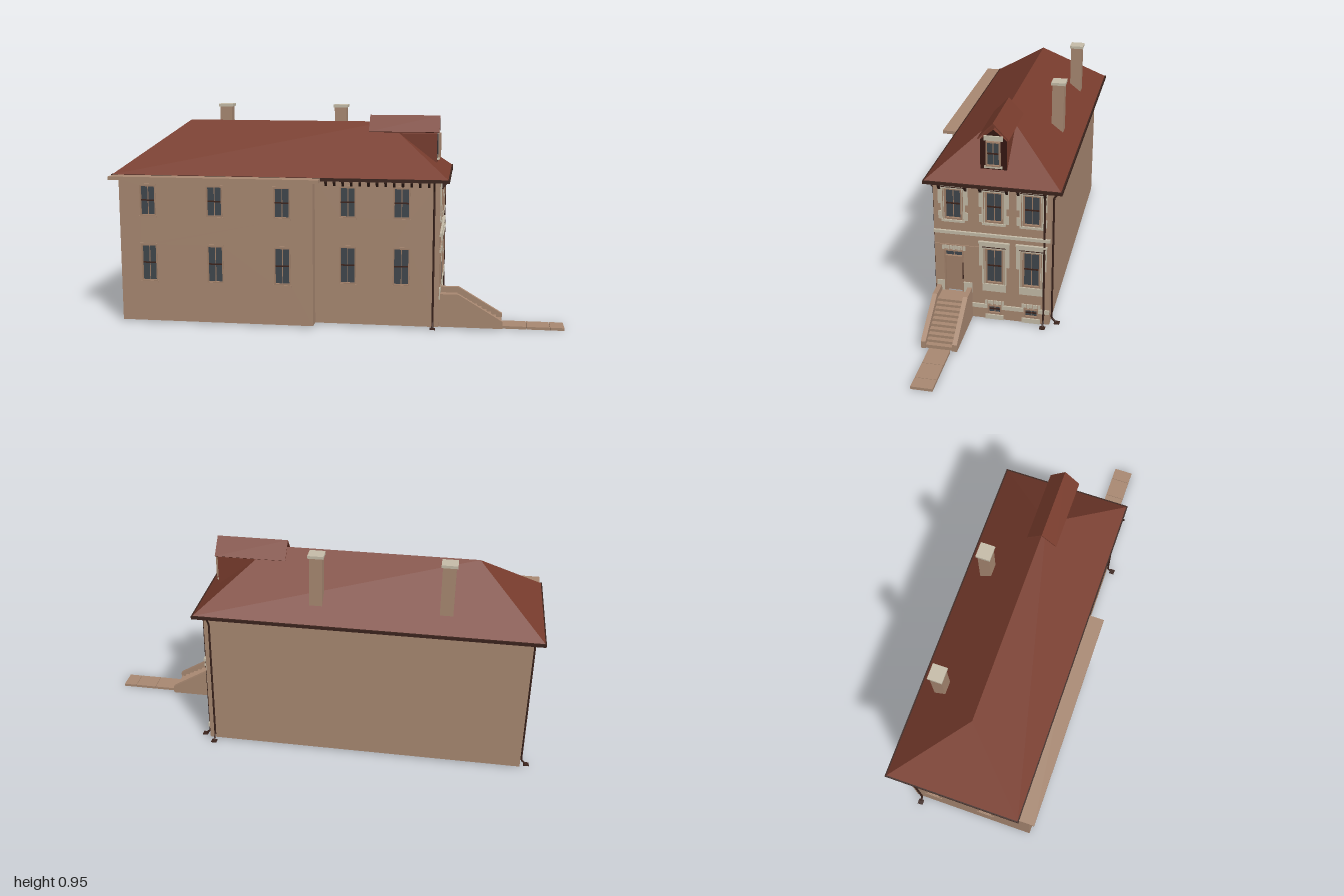
import * as THREE from 'three';

const mat = (name, color) => {
  const m = new THREE.MeshStandardMaterial({ color, side: THREE.DoubleSide });
  m.name = name;
  return m;
};

export function createModel() {
  const M = {
    brick: mat('brown brick', 0xa98972),
    stone: mat('pale stone', 0xc6bda9),
    roof: mat('red roof', 0x783c2d),
    dark: mat('dark trim', 0x3c241d),
    gable: mat('dormer front', 0x361812),
    glass: mat('window glass', 0x40474d),
    timber: mat('timber frame', 0xa3826b),
  };
  const house = new THREE.Group();
  house.name = 'house';
  const BASE = 0.008, TOP = 0.65;

  const add = (parent, name, geo, m) => {
    const mesh = new THREE.Mesh(geo, m);
    mesh.name = name;
    parent.add(mesh);
    return mesh;
  };
  // box given by its minimum and maximum corners
  const box = (parent, name, m, x0, x1, y0, y1, z0, z1) => {
    const mesh = add(parent, name, new THREE.BoxGeometry(x1 - x0, y1 - y0, z1 - z0), m);
    mesh.position.set((x0 + x1) / 2, (y0 + y1) / 2, (z0 + z1) / 2);
    return mesh;
  };
  const outline = (pts, Type = THREE.Shape) => new Type(pts.map(p => new THREE.Vector2(...p)));
  const rect = (x0, x1, y0, y1) => [[x0, y0], [x1, y0], [x1, y1], [x0, y1]];

  // wall plane facing local +z at distance d, with openings [x0, x1, y0, y1]
  const wall = (name, turn, d, u0, u1, openings = []) => {
    const g = new THREE.Group();
    g.name = name;
    g.rotation.y = turn;
    g.position.set(Math.sin(turn) * d, 0, Math.cos(turn) * d);
    const s = outline(rect(u0, u1, BASE, TOP));
    openings.forEach(o => s.holes.push(outline(rect(...o), THREE.Path)));
    add(g, name + 'Panel', new THREE.ShapeGeometry(s), M.brick);
    house.add(g);
    return g;
  };

  // sash window filling an opening
  const sash = (g, [x0, x1, y0, y1], f = 0.007) => {
    const w = new THREE.Group();
    w.name = 'window';
    g.add(w);
    const mid = (x0 + x1) / 2, rail = (y0 + y1) / 2;
    box(w, 'glass', M.glass, x0, x1, y0, y1, -0.012, -0.008);
    for (const [a, b] of [[x0, x0 + f], [x1 - f, x1]]) box(w, 'jamb', M.timber, a, b, y0, y1, -0.014, 0.003);
    for (const [a, b] of [[y0, y0 + f], [y1 - f, y1]]) box(w, 'frameRail', M.timber, x0, x1, a, b, -0.014, 0.003);
    box(w, 'mullion', M.timber, mid - 0.0015, mid + 0.0015, y0 + f, y1 - f, -0.01, -0.005);
    box(w, 'meetingRail', M.dark, x0 + f, x1 - f, rail - 0.003, rail + 0.003, -0.01, -0.004);
  };

  // plain side windows in two storeys, with slim sills and lintels
  const plainOpenings = centres => centres.flatMap(c =>
    [[c - 0.036, c + 0.036, 0.485, 0.62], [c - 0.036, c + 0.036, 0.19, 0.355]]);
  const plainWall = (name, turn, d, u0, u1, centres) => {
    const os = plainOpenings(centres);
    const g = wall(name, turn, d, u0, u1, os);
    for (const o of os) {
      sash(g, o, 0.005);
      box(g, 'sill', M.brick, o[0] - 0.004, o[1] + 0.004, o[2] - 0.008, o[2], -0.005, 0.005);
      box(g, 'lintel', M.brick, o[0] - 0.004, o[1] + 0.004, o[3], o[3] + 0.006, -0.002, 0.003);
    }
    return g;
  };
  plainWall('sideWall', 0, 0.225, -0.09, 0.455, [0.055, 0.29]);
  const wing = plainWall('wingWall', 0, 0.285, -0.955, -0.09, [-0.825, -0.525, -0.225]);
  box(wing, 'wingLining', M.brick, -0.95, -0.092, BASE, TOP, -0.02, -0.015);
  plainWall('endWall', -Math.PI / 2, 0.955, -0.275, 0.285, [-0.175, 0.075]);
  wall('wingReturn', Math.PI / 2, -0.09, -0.285, -0.225);
  wall('backWall', Math.PI, 0.275, -0.455, 0.955);

  // entrance facade: local x runs towards -z
  const upper = [-0.14, 0.035, 0.195].map(c => [c - 0.038, c + 0.038, 0.477, 0.62]);
  const lower = [0.035, 0.195].map(c => [c - 0.039, c + 0.039, 0.185, 0.355]);
  const cellar = [0.035, 0.195].map(c => [c - 0.03, c + 0.03, 0.035, 0.075]);
  const door = [-0.184, -0.1, 0.13, 0.33];
  const F = wall('facade', Math.PI / 2, 0.455, -0.225, 0.275, [...upper, ...lower, ...cellar, door]);

  // surround: quoin blocks of the given widths from the sill up, head and sill
  const surround = ([x0, x1, y0, y1], widths, head, sill) => {
    const h = (y1 - y0) / widths.length;
    widths.forEach((w, i) => {
      box(F, 'quoinLeft', M.stone, x0 - w, x0, y0 + i * h, y0 + (i + 1) * h, -0.01, 0.005);
      box(F, 'quoinRight', M.stone, x1, x1 + w, y0 + i * h, y0 + (i + 1) * h, -0.01, 0.005);
    });
    box(F, 'head', M.stone, x0 - 0.026, x1 + 0.026, y1, y1 + head, -0.01, 0.007);
    box(F, 'sill', M.stone, x0 - 0.012, x1 + 0.012, y0 - sill, y0, -0.01, 0.009);
    for (const a of [x0 - 0.006, x1 + 0.003]) box(F, 'moulding', M.timber, a, a + 0.003, y0, y1 + 0.004, 0, 0.007);
    box(F, 'headMoulding', M.dark, x0 - 0.012, x1 + 0.012, y1 + 0.006, y1 + 0.009, 0, 0.009);
  };
  for (const o of upper) { sash(F, o); surround(o, [0.026, 0.014, 0.026, 0.026], 0.022, 0.01); }
  for (const o of lower) {
    sash(F, o);
    surround(o, [0.014, 0.014, 0.026, 0.026], 0.03, 0.035);
    box(F, 'windowCornice', M.stone, o[0] - 0.028, o[1] + 0.028, 0.38, 0.388, 0, 0.012);
  }
  const voussoirs = (x0, x1, y0, y1, n) => {
    const w = (x1 - x0) / n;
    for (let i = 0; i < n; i++)
      box(F, 'voussoir', M.stone, x0 + i * w + 0.001, x0 + (i + 1) * w - 0.001, y0 + (i % 2) * 0.004, y1, -0.006, 0.005);
  };
  for (const o of cellar) {
    sash(F, o, 0.005);
    voussoirs(o[0] - 0.012, o[1] + 0.012, 0.08, 0.1, 7);
    box(F, 'cellarSill', M.stone, o[0] - 0.01, o[1] + 0.01, BASE, 0.03, -0.006, 0.006);
  }
  // string courses
  box(F, 'stringCourse', M.stone, -0.225, 0.275, 0.411, 0.425, 0, 0.01);
  for (const [a, b] of [[-0.063, 0.003], [0.067, 0.163], [0.227, 0.275]])
    box(F, 'baseCourse', M.stone, a, b, 0.061, 0.08, 0, 0.007);
  box(F, 'brickCourse', M.brick, -0.225, -0.005, 0.353, 0.357, 0, 0.004);
  for (const [a, b] of [[-0.218, -0.184], [-0.1, -0.063]])
    box(F, 'doorQuoin', M.stone, a, b, 0.13, 0.178, 0, 0.005);

  // door with transom light
  const [d0, d1] = door;
  box(F, 'door', M.timber, d0, d1, 0.13, 0.298, -0.014, -0.008);
  box(F, 'transomGlass', M.glass, d0, d1, 0.298, 0.33, -0.013, -0.009);
  for (const a of [d0, d1 - 0.006]) box(F, 'doorJamb', M.timber, a, a + 0.006, 0.13, 0.33, -0.014, 0.004);
  for (const y of [0.296, 0.324]) box(F, 'doorRail', M.timber, d0, d1, y, y + 0.006, -0.014, 0.003);
  box(F, 'transomBar', M.timber, -0.1435, -0.1405, 0.3, 0.326, -0.01, -0.005);
  box(F, 'doorHandle', M.dark, d1 - 0.004, d1, 0.195, 0.275, 0.002, 0.006);
  voussoirs(-0.193, -0.09, 0.332, 0.352, 9);

  // hipped roof
  const E = [[-0.996, 0.66, 0.254], [0.49, 0.66, 0.254], [0.49, 0.66, -0.32], [-0.996, 0.66, -0.32],
    [-0.71, 0.885, -0.033], [0.2, 0.885, -0.033]];
  const hip = [0, 1, 5, 0, 5, 4, 1, 2, 5, 2, 3, 4, 2, 4, 5, 3, 0, 4];
  const roofGeo = new THREE.BufferGeometry();
  roofGeo.setAttribute('position', new THREE.Float32BufferAttribute(hip.flatMap(i => E[i]), 3));
  roofGeo.computeVertexNormals();
  add(house, 'roof', roofGeo, M.roof);
  // soffit and the dark gutter around it
  box(house, 'soffit', M.brick, -0.995, 0.489, 0.648, 0.658, -0.319, 0.253);
  for (const z of [-0.325, 0.251]) box(house, 'longGutter', M.dark, -1, 0.495, 0.647, 0.661, z, z + 0.007);
  for (const x of [-1, 0.488]) box(house, 'shortGutter', M.dark, x, x + 0.007, 0.647, 0.661, -0.325, 0.258);
  box(house, 'wingRoof', M.brick, -0.99, -0.06, 0.645, 0.66, 0.2, 0.322);

  // eaves brackets: back, side and facade
  const side = [[0, 0.02], [0.022, 0.02], [0.022, 0.012], [0.008, -0.006], [0, -0.006]];
  const bracketGeo = new THREE.ExtrudeGeometry(outline(side), { depth: 0.01, bevelEnabled: false });
  bracketGeo.translate(0, 0, -0.005);
  const bracket = (x, y, z, turn, k = 1) => {
    const b = add(house, 'bracket', bracketGeo, M.dark);
    b.position.set(x, y, z);
    b.rotation.y = turn;
    b.scale.set(k, k, 1);
  };
  for (let i = 0; i < 38; i++) bracket(-0.94 + i * 0.0372, 0.63, -0.275, Math.PI / 2);
  for (let i = 0; i < 13; i++) bracket(-0.04 + i * 0.0372, 0.63, 0.225, -Math.PI / 2);
  for (const c of [0.14, -0.035, -0.195]) for (const s of [-1, 1]) bracket(0.455, 0.624, c + s * 0.056, 0, 1.3);

  // downpipes; (dx, dz) is the outward direction
  const pipe = (x, z, dx, dz) => {
    const path = new THREE.CurvePath();
    const pts = [[0.037, 0.648], [0.004, 0.605], [0.004, 0.028], [0.022, 0.01]]
      .map(([o, y]) => new THREE.Vector3(x + dx * o, y, z + dz * o));
    for (let i = 0; i < 3; i++) path.add(new THREE.LineCurve3(pts[i], pts[i + 1]));
    add(house, 'downpipe', new THREE.TubeGeometry(path, 60, 0.0045, 6), M.dark);
    const px = x + dx * 0.027, pz = z + dz * 0.027;
    box(house, 'splashBlock', M.dark, px - 0.012, px + 0.012, 0.005, 0.009, pz - 0.012, pz + 0.012);
  };
  pipe(0.43, 0.225, 0, 1);
  pipe(0.43, -0.278, 0, -1);
  pipe(0.457, -0.25, 1, 0);
  pipe(-0.957, -0.25, -1, 0);

  // chimneys
  for (const x of [-0.587, -0.034]) {
    box(house, 'chimney', M.brick, x - 0.028, x + 0.028, 0.7, 0.937, -0.247, -0.195);
    box(house, 'chimneyCap', M.stone, x - 0.034, x + 0.034, 0.937, 0.949, -0.253, -0.19);
  }

  // dormer: body, thin gabled roof and window
  const gable = outline([[-0.056, 0.71], [0.056, 0.71], [0.056, 0.838], [0, 0.884], [-0.056, 0.838]]);
  const dormer = new THREE.Group();
  dormer.name = 'dormer';
  dormer.rotation.y = Math.PI / 2;
  dormer.position.set(0.43, 0, -0.029);
  house.add(dormer);
  const body = new THREE.ExtrudeGeometry(gable, { depth: 0.235, bevelEnabled: false });
  add(dormer, 'dormerBody', body, [M.gable, M.roof]).position.z = -0.235;
  const chevron = outline([[-0.066, 0.845], [0, 0.915], [0.066, 0.845], [0.062, 0.842], [0, 0.907], [-0.062, 0.842]]);
  add(dormer, 'dormerRoof', new THREE.ExtrudeGeometry(chevron, { depth: 0.315, bevelEnabled: false }), M.roof).position.z = -0.305;
  const dw = new THREE.Group();
  dw.name = 'dormerWindow';
  dw.position.z = 0.0125;
  dormer.add(dw);
  sash(dw, [-0.03, 0.03, 0.728, 0.836], 0.005);
  box(dormer, 'dormerLintel', M.stone, -0.04, 0.04, 0.838, 0.858, 0, 0.008);
  box(dormer, 'dormerSill', M.stone, -0.038, 0.038, 0.718, 0.726, 0, 0.01);

  // entrance stairs between sloping cheek walls
  const cheek = outline([[0.455, BASE], [0.733, BASE], [0.733, 0.04], [0.54, 0.155], [0.455, 0.155]]);
  const cheekGeo = new THREE.ExtrudeGeometry(cheek, { depth: 0.02, bevelEnabled: false });
  for (const z of [0.063, 0.197]) add(house, 'stairCheek', cheekGeo, M.brick).position.z = z;
  box(house, 'landing', M.brick, 0.455, 0.535, BASE, 0.13, 0.083, 0.197);
  for (let i = 0; i < 9; i++) {
    const x = 0.535 + i * 0.0215, y = 0.13 - (i + 1) * 0.0118;
    box(house, 'step', M.brick, x, x + 0.0215, BASE, y, 0.083, 0.197);
  }
  // garden path slabs
  for (const [a, b] of [[0.733, 0.838], [0.84, 0.938], [0.94, 1]])
    box(house, 'pathSlab', M.brick, a, b, 0, 0.012, 0.092, 0.182);

  return house;
}
